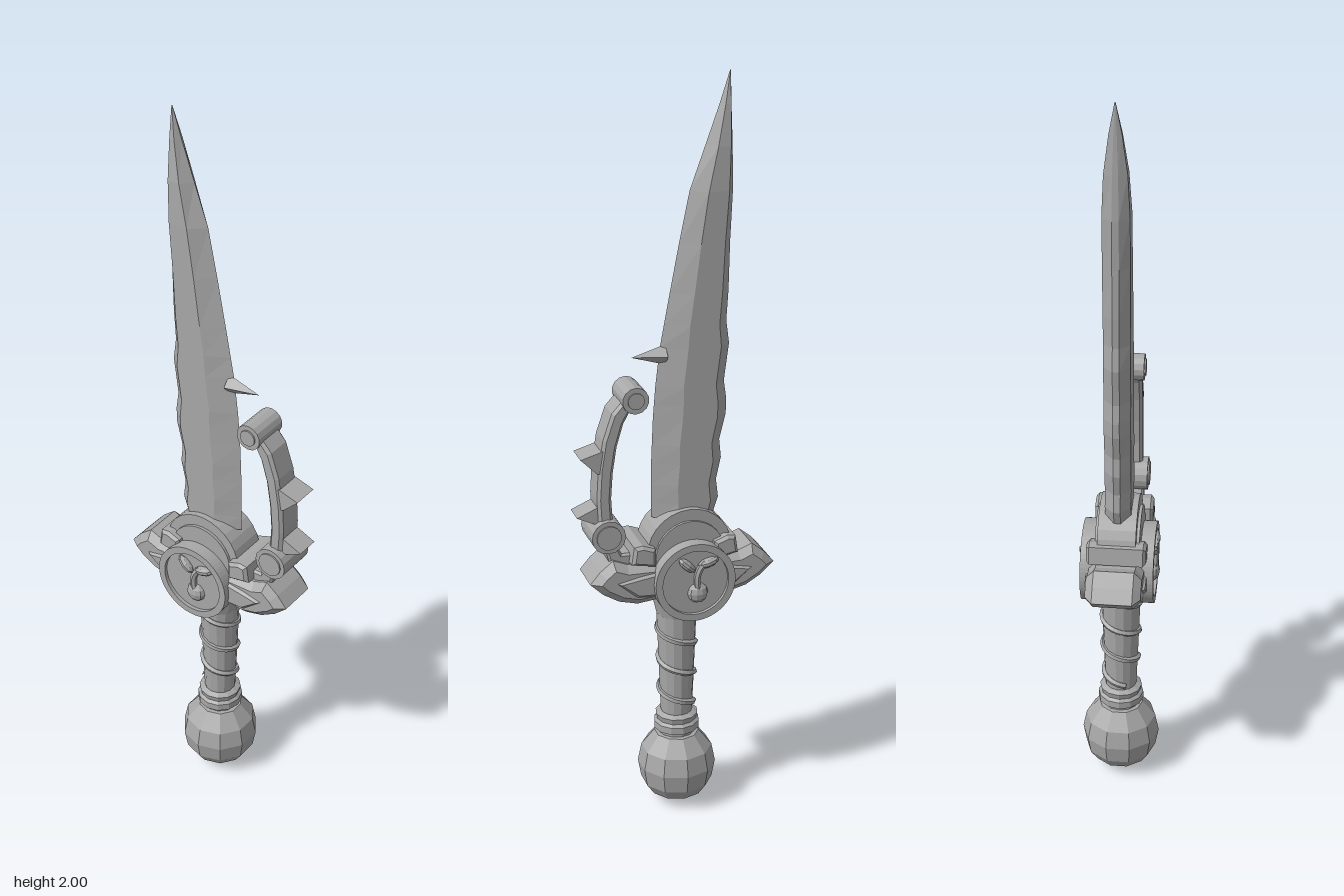
import * as THREE from 'three';

const steel = new THREE.MeshStandardMaterial({ color: 0xa8a8a8 });
steel.name = 'grey steel';

// Mesh with one normal per facet
function part(parent, name, geometry) {
  const g = geometry.index ? geometry.toNonIndexed() : geometry;
  g.computeVertexNormals();
  const mesh = new THREE.Mesh(g, steel);
  mesh.name = name;
  parent.add(mesh);
  return mesh;
}

// Outline in x,y extruded symmetrically about z = 0, with an optional chamfer
function slab(points, halfDepth, bevel = 0) {
  const shape = new THREE.Shape(points.map(([x, y]) => new THREE.Vector2(x, y)));
  const g = new THREE.ExtrudeGeometry(shape, {
    depth: 2 * (halfDepth - bevel), bevelEnabled: bevel > 0, bevelSegments: 1,
    bevelThickness: bevel, bevelSize: bevel, bevelOffset: -bevel, curveSegments: 16,
  });
  return g.translate(0, 0, bevel - halfDepth);
}

// Round piece lying along z
const roller = (x, y, r, halfDepth, sides = 24) =>
  new THREE.CylinderGeometry(r, r, 2 * halfDepth, sides).rotateX(Math.PI / 2).translate(x, y, 0);

// Blade lofted through stations of [y, left x, right x, half thickness]
function bladeGeometry() {
  const stations = [
    [0.85, -0.11, 0.058, 0.034], [0.89, -0.123, 0.058, 0.034], [0.94, -0.117, 0.058, 0.034],
    [1.0, -0.13, 0.057, 0.034], [1.05, -0.125, 0.055, 0.034], [1.12, -0.142, 0.052, 0.034],
    [1.16, -0.143, 0.049, 0.034], [1.21, -0.136, 0.045, 0.034], [1.31, -0.149, 0.033, 0.034],
    [1.37, -0.141, 0.022, 0.034], [1.45, -0.146, 0.007, 0.034], [1.58, -0.149, -0.018, 0.034],
    [1.71, -0.155, -0.045, 0.034], [1.82, -0.153, -0.085, 0.029], [1.92, -0.15, -0.121, 0.016],
    [2.0, -0.149, -0.147, 0.001],
  ];
  const rings = stations.map(([y, l, r, t]) => {
    const w = r - l, e = t * 0.25;
    return [[l, e], [l + 0.16 * w, t], [r - 0.36 * w, t], [r, 0],
      [r - 0.36 * w, -t], [l + 0.16 * w, -t], [l, -e]].map(([x, z]) => [x, y, z]);
  });
  const out = [], n = rings[0].length;
  for (let k = 0; k < rings.length - 1; k++) {
    for (let i = 0; i < n; i++) {
      const j = (i + 1) % n, a = rings[k], b = rings[k + 1];
      out.push(...a[i], ...a[j], ...b[j], ...a[i], ...b[j], ...b[i]);
    }
  }
  for (let i = 1; i < n - 1; i++) out.push(...rings[0][0], ...rings[0][i + 1], ...rings[0][i]);
  const g = new THREE.BufferGeometry();
  g.setAttribute('position', new THREE.Float32BufferAttribute(out, 3));
  return g;
}

function addHandle(root) {
  const handle = new THREE.Group();
  handle.name = 'handle';
  handle.position.x = -0.012;
  root.add(handle);
  const lathe = (name, profile, sides) => part(handle, name,
    new THREE.LatheGeometry(profile.map(([r, y]) => new THREE.Vector2(r, y)), sides));
  lathe('pommel', [[0, 0], [0.03, 0.012], [0.075, 0.033], [0.097, 0.065], [0.106, 0.115],
    [0.096, 0.165], [0.06, 0.21], [0, 0.215]], 10);
  lathe('collar', [[0, 0.2], [0.048, 0.2], [0.05, 0.225], [0.062, 0.225], [0.062, 0.245],
    [0.054, 0.252], [0.058, 0.268], [0.045, 0.275], [0, 0.275]], 12);
  lathe('grip', [[0.042, 0.26], [0.046, 0.36], [0.051, 0.5], [0.055, 0.6], [0, 0.62]], 14);

  // Cord winding down the grip
  const points = [];
  for (let i = 0; i <= 54; i++) {
    const t = i / 54, a = t * Math.PI * 2 * 3 - 1.2, r = 0.052 - 0.007 * t;
    points.push(new THREE.Vector3(r * Math.sin(a), 0.56 - 0.27 * t, r * Math.cos(a)));
  }
  part(handle, 'gripCord', new THREE.TubeGeometry(new THREE.CatmullRomCurve3(points), 90, 0.0085, 5));
}

function addGuard(root) {
  const guard = new THREE.Group();
  guard.name = 'guard';
  root.add(guard);
  const cx = -0.035, cy = 0.69;

  // Dome that seats the blade, with a raised inner step and shoulders
  part(guard, 'bladeSeat', roller(-0.032, 0.765, 0.115, 0.05, 28));
  part(guard, 'bladeSeatStep', roller(-0.032, 0.755, 0.094, 0.058, 28));
  part(guard, 'hub', roller(cx, cy, 0.1, 0.086, 28));
  part(guard, 'gripSocket', new THREE.CylinderGeometry(0.075, 0.058, 0.07, 12).translate(-0.015, 0.605, 0));

  // Wings, mirrored about the middle of the guard
  const mid = -0.0135;
  for (const side of [-1, 1]) {
    const at = ([x, y]) => [mid + side * x, y];
    const wing = [[0.05, 0.64], [0.125, 0.632], [0.175, 0.645], [0.217, 0.67], [0.252, 0.703],
      [0.225, 0.735], [0.19, 0.763], [0.15, 0.747], [0.05, 0.745]].map(at);
    part(guard, 'wing', slab(wing, 0.072, 0.02));
    const rib = [[0.07, 0.655], [0.13, 0.658], [0.185, 0.705], [0.125, 0.718], [0.07, 0.725]].map(at);
    part(guard, 'wingRib', slab(rib, 0.079, 0.008));
    const shoulder = [[0.08, 0.74], [0.145, 0.752], [0.138, 0.8], [0.115, 0.803], [0.08, 0.79]].map(at);
    part(guard, 'shoulder', slab(shoulder, 0.078, 0.008));
  }

  // Round plates on both faces with a rim and a plain bud relief
  for (const turn of [0, Math.PI]) {
    const plate = new THREE.Group();
    plate.name = 'roundPlate';
    plate.position.set(cx, cy, 0);
    plate.rotation.y = turn;
    guard.add(plate);
    const rim = new THREE.Shape().absarc(0, 0, 0.109, 0, Math.PI * 2);
    rim.holes.push(new THREE.Path().absarc(0, 0, 0.09, 0, Math.PI * 2, true));
    part(plate, 'rim', new THREE.ExtrudeGeometry(rim,
      { depth: 0.036, bevelEnabled: false, curveSegments: 28 }).translate(0, 0, 0.06));
    const bud = part(plate, 'bud', new THREE.SphereGeometry(0.028, 10, 6));
    bud.scale.z = 0.7;
    bud.position.set(0.008, -0.032, 0.086);
    const stem = new THREE.QuadraticBezierCurve3(new THREE.Vector3(0.008, -0.02, 0.092),
      new THREE.Vector3(-0.006, 0.025, 0.095), new THREE.Vector3(0.026, 0.055, 0.092));
    part(plate, 'stem', new THREE.TubeGeometry(stem, 8, 0.009, 6));
    for (const [x, y, angle] of [[-0.022, 0.05, -0.75], [0.035, 0.052, 0.25]]) {
      const leaf = part(plate, 'leaf', new THREE.SphereGeometry(0.03, 8, 5));
      leaf.scale.set(1, 0.42, 0.5);
      leaf.rotation.z = angle;
      leaf.position.set(x, y, 0.09);
    }
  }
}

function addKnuckleBow(root) {
  const bow = new THREE.Group();
  bow.name = 'knuckleBow';
  root.add(bow);
  part(bow, 'upperRoller', roller(0.111, 1.193, 0.035, 0.05, 14));
  part(bow, 'upperRollerCap', roller(0.111, 1.193, 0.022, 0.054, 14));
  part(bow, 'lowerRoller', roller(0.187, 0.83, 0.045, 0.055, 16));
  part(bow, 'lowerRollerCap', roller(0.187, 0.83, 0.033, 0.059, 16));
  part(bow, 'bowBar', slab([[0.118, 1.17], [0.14, 1.13], [0.158, 1.07], [0.169, 1.0], [0.174, 0.93],
    [0.17, 0.85], [0.208, 0.85], [0.212, 0.93], [0.207, 1.01], [0.194, 1.09], [0.17, 1.16],
    [0.138, 1.195]], 0.04, 0.008));
  part(bow, 'upperSpike', slab([[0.185, 1.065], [0.197, 1.0], [0.212, 1.003], [0.254, 1.045]], 0.036));
  part(bow, 'lowerSpike', slab([[0.195, 0.915], [0.195, 0.862], [0.208, 0.858], [0.265, 0.885]], 0.032));
  part(bow, 'bracket', slab([[0.09, 0.74], [0.18, 0.74], [0.195, 0.8], [0.165, 0.805],
    [0.15, 0.775], [0.09, 0.775]], 0.045, 0.006));
}

export function createModel() {
  const root = new THREE.Group();
  root.name = 'dagger';
  part(root, 'blade', bladeGeometry());
  // Small four-sided barb on the cutting edge
  const barb = part(root, 'bladeBarb',
    new THREE.ConeGeometry(0.027, 0.09, 4).rotateZ(-Math.PI / 2).translate(0.063, 1.292, 0));
  barb.scale.z = 0.9;
  addHandle(root);
  addGuard(root);
  addKnuckleBow(root);
  return root;
}
